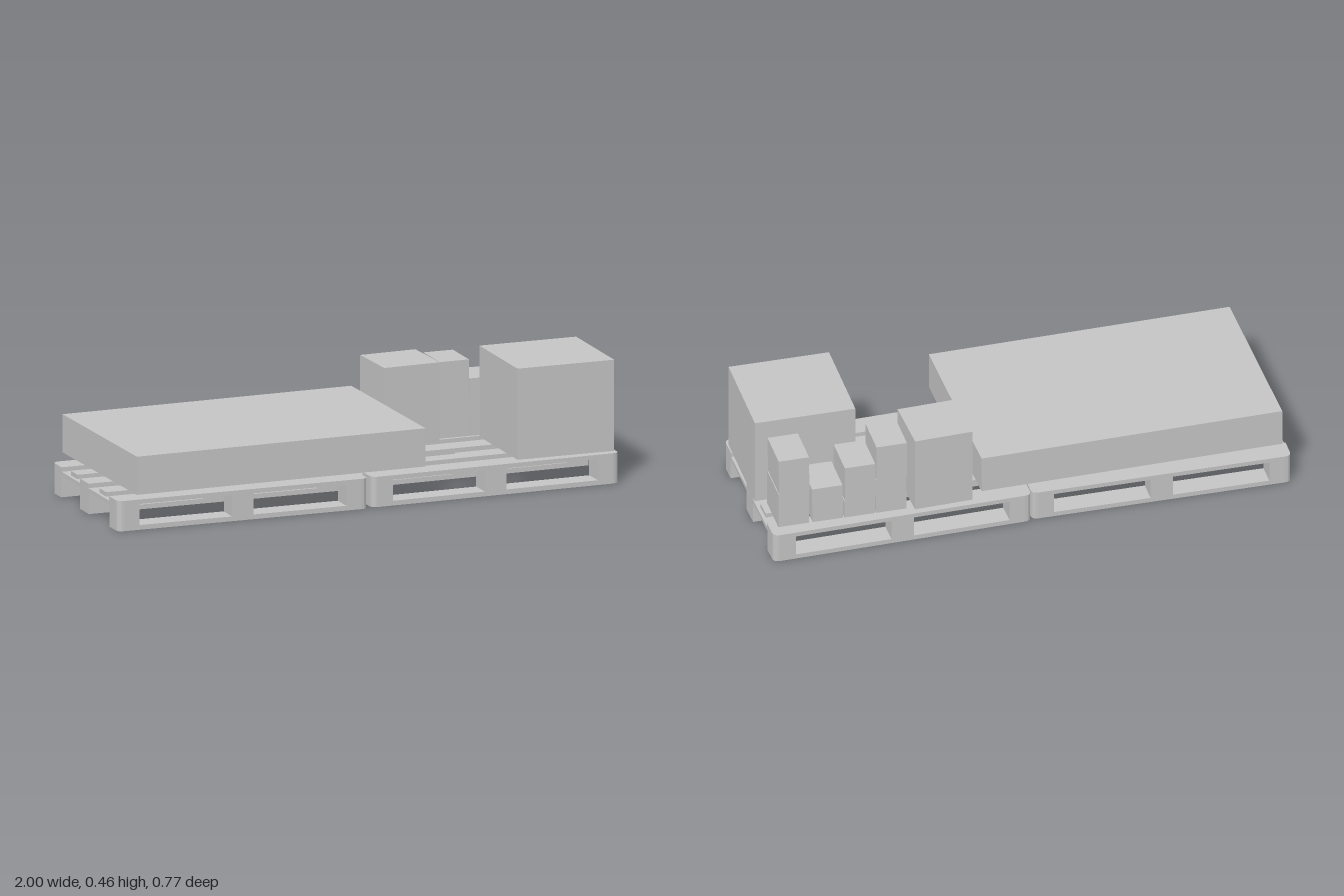
import * as THREE from 'three';

const grey = new THREE.MeshStandardMaterial({ color: 0xc4c4c4 });
grey.name = 'light grey';

const LENGTH = 0.99, DEPTH = 0.66;

// Box standing on y0, turned about the vertical axis
function box(name, x, z, w, d, y0, y1, turn = 0) {
  const mesh = new THREE.Mesh(new THREE.BoxGeometry(w, y1 - y0, d), grey);
  mesh.name = name;
  mesh.position.set(x, (y0 + y1) / 2, z);
  mesh.rotation.y = turn;
  return mesh;
}

// Flat pallet piece; corners that meet a pallet corner are rounded
function slab(name, x, z, w, d, y0, y1) {
  const shape = new THREE.Shape();
  const r = 0.025;
  const corners = [[-1, -1], [1, -1], [1, 1], [-1, 1]].map(([i, j]) => [x + i * w / 2, z + j * d / 2]);
  corners.forEach(([cx, cz], k) => {
    const outer = Math.abs(cx) > LENGTH / 2 - 0.002 && Math.abs(cz) > DEPTH / 2 - 0.002;
    const cut = outer ? r : 0;
    const toward = ([px, pz]) => {
      const len = Math.hypot(px - cx, pz - cz);
      return [cx + (px - cx) * cut / len, cz + (pz - cz) * cut / len];
    };
    const a = toward(corners[(k + 3) % 4]), b = toward(corners[(k + 1) % 4]);
    if (k === 0) shape.moveTo(a[0], -a[1]);
    else shape.lineTo(a[0], -a[1]);
    if (outer) shape.quadraticCurveTo(cx, -cz, b[0], -b[1]);
  });
  shape.closePath();
  const geometry = new THREE.ExtrudeGeometry(shape, { depth: y1 - y0, bevelEnabled: false, curveSegments: 4 });
  geometry.rotateX(-Math.PI / 2);
  geometry.translate(0, y0, 0);
  const mesh = new THREE.Mesh(geometry, grey);
  mesh.name = name;
  return mesh;
}

function pallet(name, x, z, turn) {
  const group = new THREE.Group();
  group.name = name;
  group.position.set(x, 0, z);
  group.rotation.y = turn;

  const rows = [[-0.2875, 0.085], [-0.01, 0.09], [0.2875, 0.085]];
  const columns = [[-0.4525, 0.085], [0, 0.085], [0.4525, 0.085]];

  // Skids and the blocks standing on them
  for (const [rz, rd] of rows) {
    group.add(slab('bottomSkid', 0, rz, LENGTH, rd, 0, 0.018));
    for (const [cx, cw] of columns) group.add(slab('block', cx, rz, cw, rd, 0.018, 0.083));
  }
  // Cross boards over the blocks
  for (const [cx, cw] of columns) group.add(slab('crossBoard', cx, 0, cw, DEPTH, 0.083, 0.098));
  // Deck boards
  for (const [bz, bd, len] of [
    [-0.285, 0.09, LENGTH], [-0.145, 0.068, 0.965], [-0.01, 0.085, LENGTH],
    [0.145, 0.068, 0.965], [0.285, 0.09, LENGTH],
  ]) group.add(slab('deckBoard', 0, bz, len, bd, 0.098, 0.115));
  return group;
}

export function createModel() {
  const model = new THREE.Group();
  model.name = 'loadedPallets';

  model.add(pallet('leftPallet', -0.503, -0.03, 0));
  model.add(pallet('rightPallet', 0.498, -0.05, 0.025));

  // Large goods
  model.add(box('wideCrate', -0.386, 0.013, 1.153, 0.715, 0.155, 0.3, 0.02));
  model.add(box('tallCarton', 0.329, -0.237, 0.222, 0.222, 0.115, 0.417, 0.04));
  model.add(box('largeCarton', 0.802, 0.042, 0.383, 0.385, 0.115, 0.461));

  // Stacks of small cartons, each layer set down a little unevenly
  const layerHeight = 0.0727;
  [[0.522, 4], [0.642, 3], [0.766, 2], [0.894, 4]].forEach(([x, layers], s) => {
    const stack = new THREE.Group();
    stack.name = 'smallCartonStack';
    for (let i = 0; i < layers; i++) {
      const y = 0.115 + i * layerHeight;
      const shift = 0.002 * Math.sin(s * 2.3 + i * 1.9);
      stack.add(box('smallCarton', x + shift, -0.257, 0.116, 0.163, y, y + layerHeight));
    }
    model.add(stack);
  });

  return model;
}
